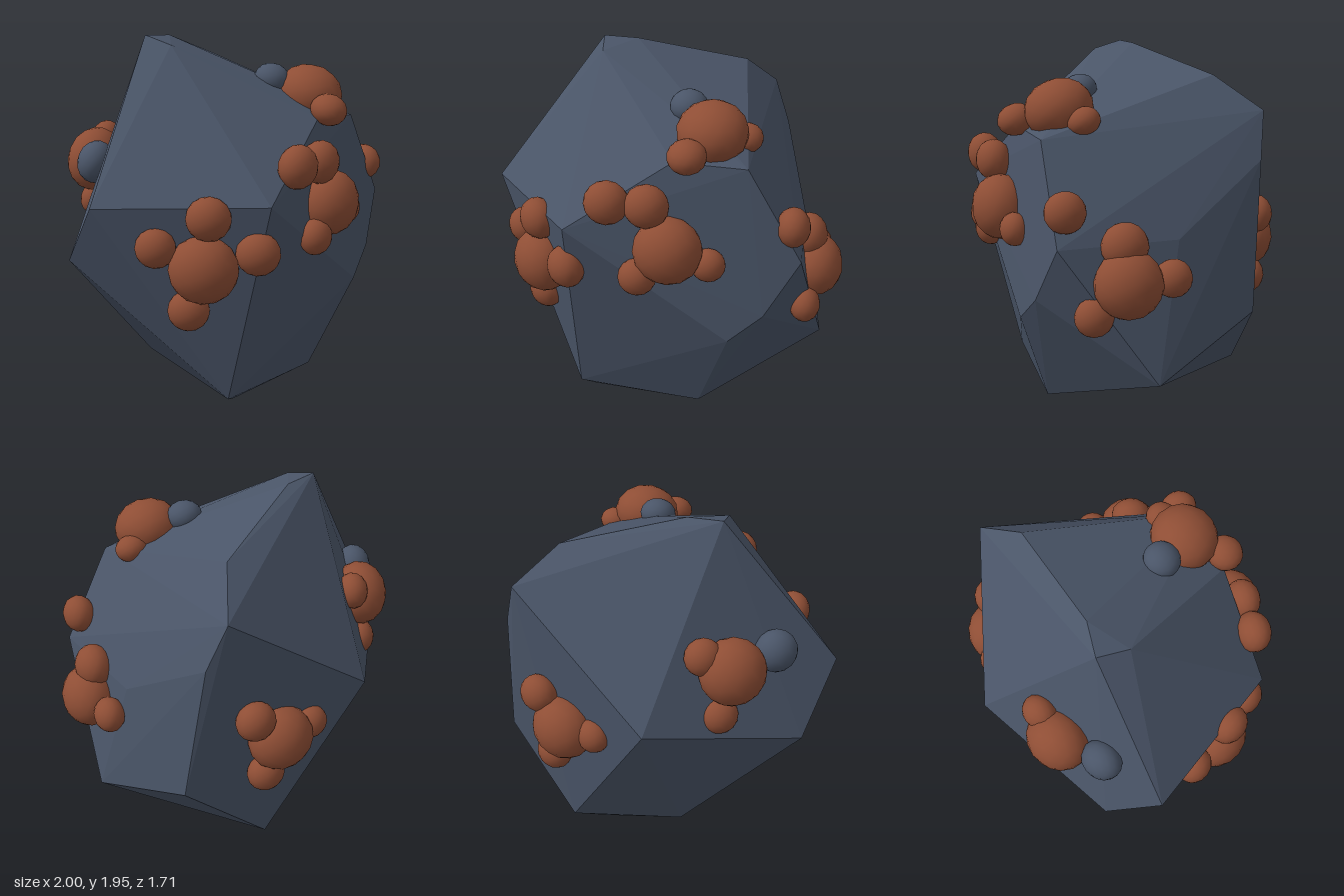
import * as THREE from 'three';
import { ConvexGeometry } from 'three/addons/geometries/ConvexGeometry.js';

const V = (p) => new THREE.Vector3(...p);

// Corners of the faceted boulder
const corners = [
  // crown
  [-0.39, 1.945, -0.2], [-0.2, 1.935, -0.2], [-0.37, 1.9, -0.03], [0.41, 1.78, -0.41],
  [0.59, 1.6, -0.62], [0.68, 1.35, -0.56], [0.09, 1.52, 0.6], [0.46, 1.49, 0.58],
  // waist
  [-1, 1.15, 0], [-0.46, 1.17, 0.71], [0.75, 1, 0.6], [0.79, 1, -0.03],
  [0.57, 0.7, 0.66], [0.39, 0.55, 0.69], [-0.2, 1, -0.83], [-0.91, 0.79, -0.29],
  [0.78, 0.55, -0.485],
  // foot
  [0.92, 0.29, 0.13], [0.33, 0.087, -0.635], [0.23, 0, 0.5], [-0.47, 0.04, 0.45],
  [-0.39, 0, 0.42], [-0.25, 0, -0.36], [0.16, 0, -0.5],
];

// Ore clusters: facing direction, then nodules as x, y, z, radius
const clusters = [
  { name: 'frontOre', facing: [0, 0, 1], ore: [
    [0.075, 1.08, 0.7, 0.18], [-0.03, 1.32, 0.7, 0.115], [-0.23, 1.33, 0.7, 0.115],
    [-0.08, 0.93, 0.72, 0.1], [0.28, 1, 0.68, 0.09]] },
  { name: 'upperOre', facing: [0, 0.95, 0.3], ore: [
    [0.27, 1.62, 0.42, 0.185], [0.16, 1.56, 0.62, 0.1], [0.44, 1.57, 0.345, 0.088]],
    stone: [[0.135, 1.7, 0.26, 0.1]] },
  { name: 'leftOre', facing: [0.97, 0.1, 0.2], ore: [
    [0.85, 0.82, 0.27, 0.175], [0.8, 1, 0.27, 0.12], [0.87, 0.83, 0.04, 0.098],
    [0.795, 0.655, 0.43, 0.1], [0.7, 1.17, 0.54, 0.105]] },
  { name: 'rightOre', facing: [-0.8, -0.14, 0.6], ore: [
    [-0.655, 0.84, 0.44, 0.18], [-0.65, 1.11, 0.47, 0.115], [-0.47, 0.92, 0.64, 0.115],
    [-0.8, 0.95, 0.25, 0.105], [-0.67, 0.6, 0.35, 0.11]] },
  { name: 'backOre', facing: [0.25, 0, -0.97], ore: [
    [0.31, 0.83, -0.71, 0.18], [0.46, 1, -0.68, 0.108], [0.12, 0.85, -0.74, 0.095],
    [0.39, 0.62, -0.69, 0.105]] },
  { name: 'backRightOre', facing: [-0.6, 0.25, -0.75], ore: [
    [-0.55, 1.257, -0.46, 0.18], [-0.41, 1.35, -0.52, 0.1], [-0.51, 1.01, -0.52, 0.1]],
    stone: [[-0.72, 1.3, -0.26, 0.115]] },
];

export function createModel() {
  const stone = new THREE.MeshStandardMaterial({ color: 0x4a5568 });
  stone.name = 'slate stone';
  const copper = new THREE.MeshStandardMaterial({ color: 0x8f4e35 });
  copper.name = 'rusty copper';

  const model = new THREE.Group();
  model.name = 'oreBoulder';

  // Boulder
  const boulder = new THREE.Mesh(new ConvexGeometry(corners.map(V)), stone);
  boulder.name = 'boulder';
  model.add(boulder);

  // Nodules, slightly flattened against the rock
  const ball = new THREE.IcosahedronGeometry(1, 2);
  const zAxis = new THREE.Vector3(0, 0, 1);
  for (const { name, facing, ore, stone: pebbles = [] } of clusters) {
    const group = new THREE.Group();
    group.name = name;
    const turn = new THREE.Quaternion().setFromUnitVectors(zAxis, V(facing).normalize());
    const addNodule = (part, material) => ([x, y, z, r]) => {
      const nodule = new THREE.Mesh(ball, material);
      nodule.name = part;
      nodule.position.set(x, y, z);
      nodule.quaternion.copy(turn);
      nodule.scale.set(r, r, r * 0.84);
      group.add(nodule);
    };
    ore.forEach(addNodule('oreNodule', copper));
    pebbles.forEach(addNodule('stoneNodule', stone));
    model.add(group);
  }
  return model;
}
